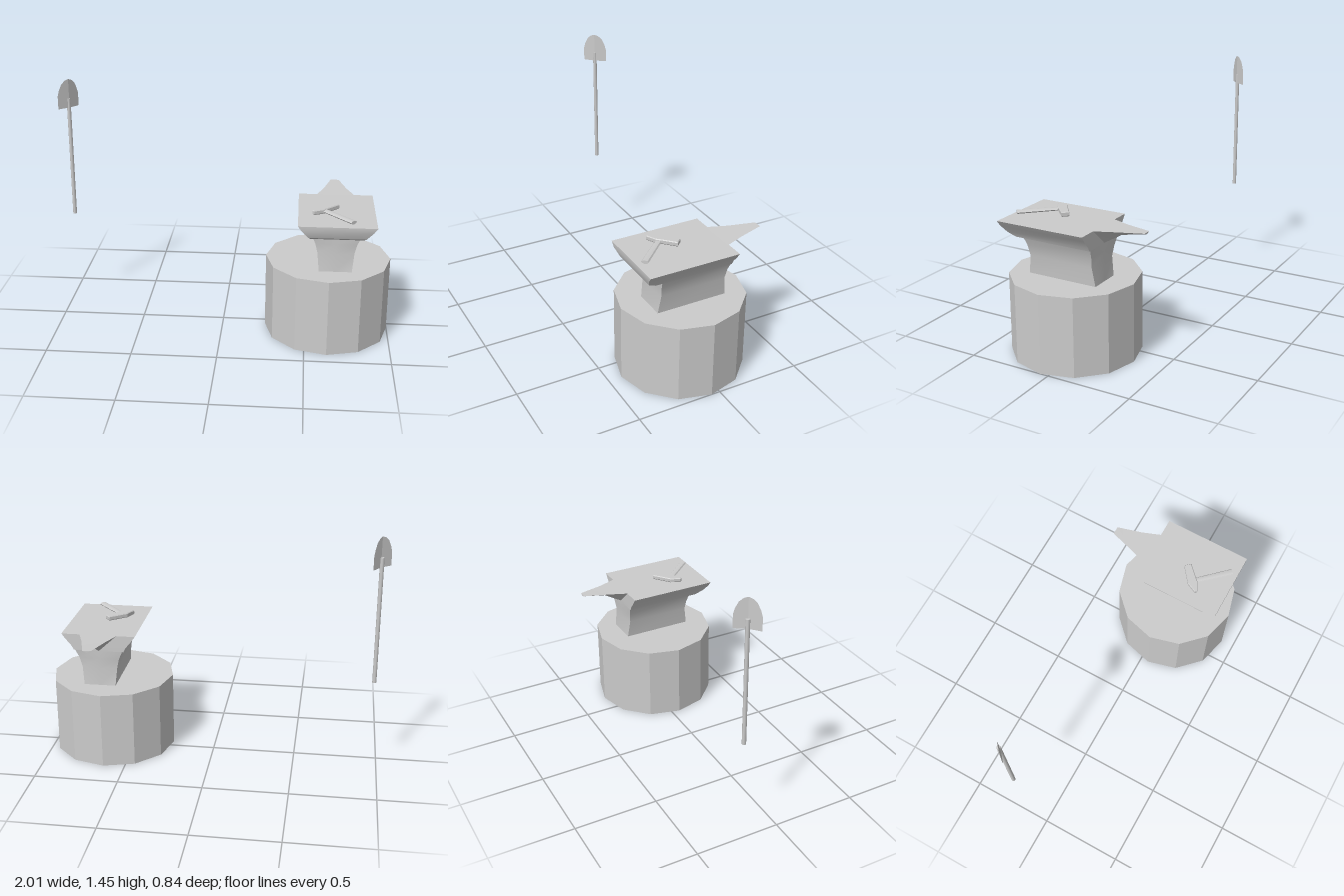
import * as THREE from 'three';
import { toCreasedNormals } from 'three/addons/utils/BufferGeometryUtils.js';

const grey = new THREE.MeshStandardMaterial({ color: 0xcccccc, side: THREE.DoubleSide });

function part(name, geometry, x = 0, y = 0, z = 0) {
  const mesh = new THREE.Mesh(geometry, grey);
  mesh.name = name;
  mesh.position.set(x, y, z);
  return mesh;
}

// Skins a list of equal-length rings of [x, y, z] and caps the last one
function loft(rings, crease) {
  const pos = [];
  const tri = (a, b, c) => pos.push(...a, ...b, ...c);
  const n = rings[0].length;
  for (let r = 0; r + 1 < rings.length; r++) {
    for (let i = 0; i < n; i++) {
      const j = (i + 1) % n;
      tri(rings[r][i], rings[r][j], rings[r + 1][j]);
      tri(rings[r][i], rings[r + 1][j], rings[r + 1][i]);
    }
  }
  const end = rings[rings.length - 1];
  for (let i = 1; i + 1 < n; i++) tri(end[0], end[i], end[i + 1]);
  const g = new THREE.BufferGeometry();
  g.setAttribute('position', new THREE.Float32BufferAttribute(pos, 3));
  return toCreasedNormals(g, crease);
}

function makeStump() {
  const g = new THREE.Group();
  g.name = 'stump';
  g.position.set(0.63, 0, 0.05);
  const side = new THREE.CylinderGeometry(0.37, 0.37, 0.46, 12, 1, true);
  g.add(part('stumpSide', toCreasedNormals(side, 0.2), 0, 0.23, 0));
  const top = new THREE.CircleGeometry(0.37, 12).rotateX(-Math.PI / 2);
  g.add(part('stumpTop', top, 0, 0.46, 0));
  return g;
}

function makeAnvil() {
  const g = new THREE.Group();
  g.name = 'anvil';
  g.position.x = 0.668;
  // Rows: height, half width, front z, back z, inset of the corners
  const rows = [
    [0.46, 0.095, 0.265, -0.16, 0],
    [0.57, 0.106, 0.265, -0.16, 0.015],
    [0.63, 0.12, 0.265, -0.16, 0.008],
    [0.68, 0.142, 0.265, -0.16, 0],
    [0.68, 0.15, 0.31, -0.16, 0],
    [0.705, 0.163, 0.358, -0.16, 0],
    [0.75, 0.2, 0.378, -0.16, 0],
    [0.78, 0.222, 0.38, -0.16, 0],
  ];
  const rings = rows.map(([y, w, f, b, c]) => [
    [-w, y, f - c], [0, y, f], [w, y, f - c],
    [w, y, b + c], [0, y, b], [-w, y, b + c],
  ]);
  g.add(part('anvilBody', loft(rings, 0.6)));

  // Horn sections: z, half width, top height, keel height
  const horn = [
    [-0.15, 0.115, 0.78, 0.675],
    [-0.27, 0.069, 0.781, 0.745],
    [-0.42, 0.025, 0.785, 0.775],
  ];
  const hornRings = horn.map(([z, w, top, keel]) => [[-w, top, z], [w, top, z], [0, keel, z]]);
  g.add(part('anvilHorn', loft(hornRings, 0.4)));
  return g;
}

function makeHammer() {
  const g = new THREE.Group();
  g.name = 'hammer';
  g.position.set(0.587, 0.787, 0.16);
  g.rotation.y = 0.75;
  // Head outline seen from above, with a tapered peen
  const outline = [[0.11, -0.022], [0.11, 0.022], [0.03, 0.023], [-0.013, 0.026],
    [-0.075, 0.008], [-0.075, -0.008], [-0.013, -0.033]];
  const shape = new THREE.Shape(outline.map(([x, z]) => new THREE.Vector2(x, -z)));
  const head = new THREE.ExtrudeGeometry(shape, {
    depth: 0.018, bevelThickness: 0.005, bevelSize: 0.004, bevelOffset: -0.004, bevelSegments: 1,
  }).rotateX(-Math.PI / 2);
  g.add(part('hammerHead', head, 0, 0.005, 0));
  // Flattened handle lying along z
  const handle = new THREE.CylinderGeometry(0.018, 0.021, 0.25, 8)
    .rotateX(-Math.PI / 2).scale(1, 0.5, 1);
  g.add(part('hammerHandle', toCreasedNormals(handle, 0.5), 0, 0.013, 0.125));
  return g;
}

function makeShovel() {
  const g = new THREE.Group();
  g.name = 'shovel';
  g.position.set(-0.955, 0, -0.202);
  g.rotation.y = 0.84;
  const handle = new THREE.CylinderGeometry(0.012, 0.012, 0.742, 8);
  g.add(part('shovelHandle', handle, 0, 0.964, 0));
  // Blade outline, then folded slightly about its centre line
  const half = [[0.074, 1.277], [0.074, 1.355], [0.064, 1.39], [0.047, 1.425], [0.024, 1.445]];
  const pos = [];
  const fold = (x, y) => [x, y, 0.006 - Math.abs(x) * 0.14];
  for (const s of [1, -1]) {
    const edge = [...half, [0, 1.453]];
    for (let i = 0; i + 1 < edge.length; i++) {
      const a = fold(s * edge[i][0], edge[i][1]);
      const b = fold(s * edge[i + 1][0], edge[i + 1][1]);
      const c = fold(0, 1.277);
      pos.push(...(s > 0 ? [...c, ...a, ...b] : [...c, ...b, ...a]));
    }
  }
  const blade = new THREE.BufferGeometry();
  blade.setAttribute('position', new THREE.Float32BufferAttribute(pos, 3));
  blade.computeVertexNormals();
  g.add(part('shovelBlade', blade));
  return g;
}

export function createModel() {
  const model = new THREE.Group();
  model.name = 'smithyTools';
  model.add(makeStump(), makeAnvil(), makeHammer(), makeShovel());
  return model;
}
